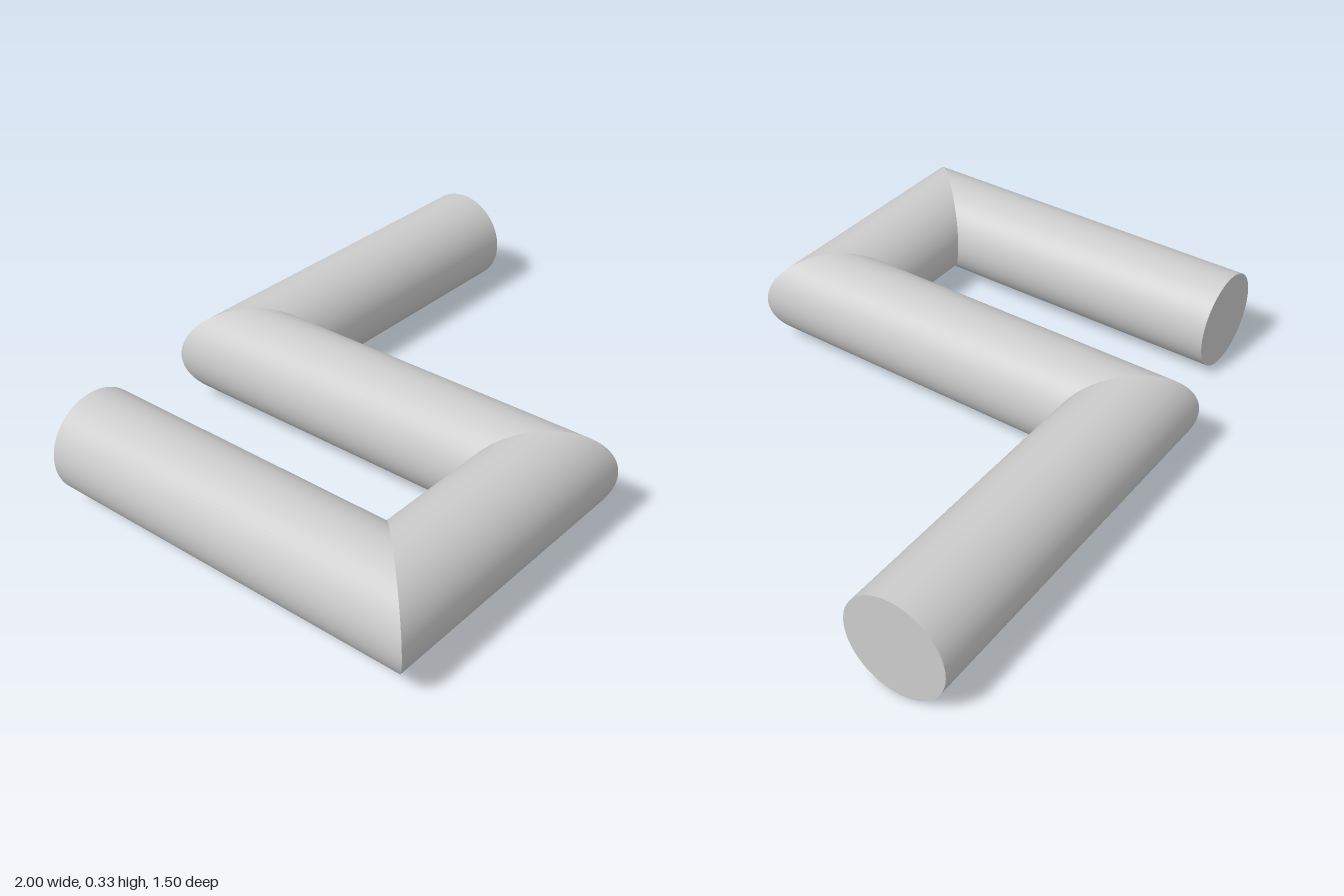
import * as THREE from 'three';

const RADIUS = 1 / 6;
const SIDES = 96;
const UP = new THREE.Vector3(0, 1, 0);

// Straight pipe from a to b, its ends cut on the mitre planes shared with its neighbours
function pipe(a, b, before, after) {
  const dir = b.clone().sub(a);
  const length = dir.length();
  dir.normalize();
  const side = dir.clone().cross(UP);
  const slope = (other) => (other ? -side.dot(other) / (1 + dir.dot(other)) : 0);
  const startSlope = slope(before);
  const endSlope = slope(after);

  const geometry = new THREE.CylinderGeometry(RADIUS, RADIUS, length, SIDES, 1, true);
  const pos = geometry.attributes.position;
  for (let i = 0; i < pos.count; i++) {
    const y = pos.getY(i);
    pos.setY(i, y + pos.getX(i) * (y > 0 ? endSlope : startSlope));
  }
  const frame = new THREE.Matrix4().makeBasis(side, dir, UP);
  frame.setPosition(a.clone().add(b).multiplyScalar(0.5));
  return geometry.applyMatrix4(frame);
}

export function createModel() {
  const group = new THREE.Group();
  group.name = 'bentPipe';
  const material = new THREE.MeshStandardMaterial({ color: 0xcccccc });

  // Centre line of the pipe
  const path = [
    [-5 / 6, -7 / 12], [-5 / 6, 7 / 12], [-1 / 6, 7 / 12], [-1 / 6, -7 / 12], [1, -7 / 12],
  ].map(([x, z]) => new THREE.Vector3(x, RADIUS, z));
  const dirs = path.slice(1).map((p, i) => p.clone().sub(path[i]).normalize());

  // Mitred straight sections
  const names = ['rightArm', 'frontBridge', 'middleArm', 'leftArm'];
  names.forEach((name, i) => {
    const mesh = new THREE.Mesh(pipe(path[i], path[i + 1], dirs[i - 1], dirs[i + 1]), material);
    mesh.name = name;
    group.add(mesh);
  });

  // Flat discs closing the two free ends
  const addCap = (name, point, outward) => {
    const cap = new THREE.Mesh(new THREE.CircleGeometry(RADIUS, SIDES), material);
    cap.name = name;
    cap.position.copy(point);
    cap.lookAt(point.clone().add(outward));
    group.add(cap);
  };
  addCap('rightArmCap', path[0], dirs[0].clone().negate());
  addCap('leftArmCap', path[4], dirs[3]);

  return group;
}
